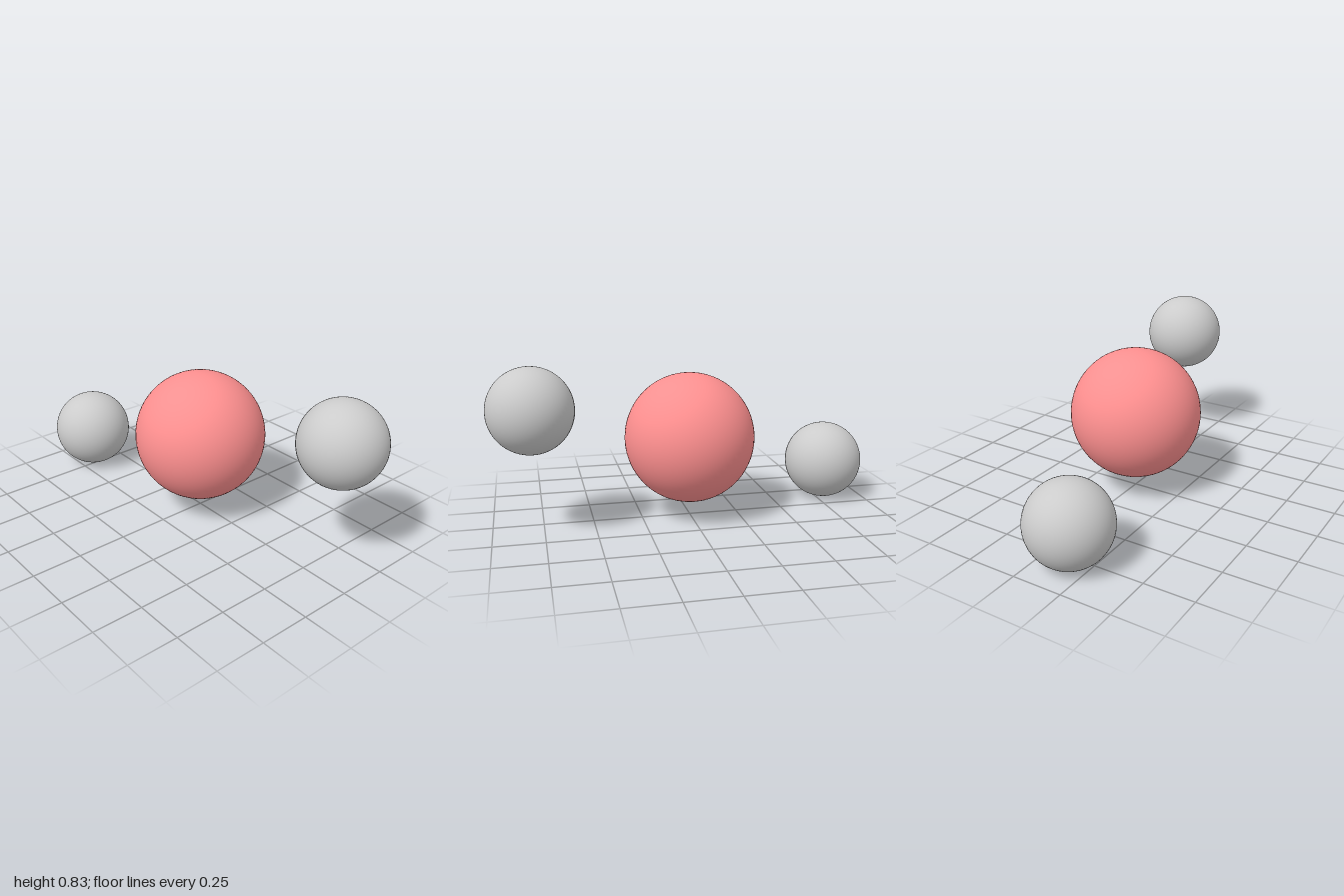
import * as THREE from 'three';

function ball(name, radius, color, x, y, z) {
  const mesh = new THREE.Mesh(
    new THREE.SphereGeometry(radius, 64, 40),
    new THREE.MeshStandardMaterial({ color })
  );
  mesh.name = name;
  mesh.position.set(x, y, z);
  return mesh;
}

export function createModel() {
  const group = new THREE.Group();
  group.name = 'threeBalls';
  const midY = 0.413;

  // Large ball in the middle
  group.add(ball('centreBall', 0.331, 0xff9090, 0, midY, 0));

  // Two small balls on opposite ends of a tilted line through the centre
  for (const [name, s] of [['leftBall', 1], ['rightBall', -1]]) {
    group.add(ball(name, 0.207, 0xcccccc, s * 0.793, midY + s * 0.206, s * -0.152));
  }
  return group;
}
